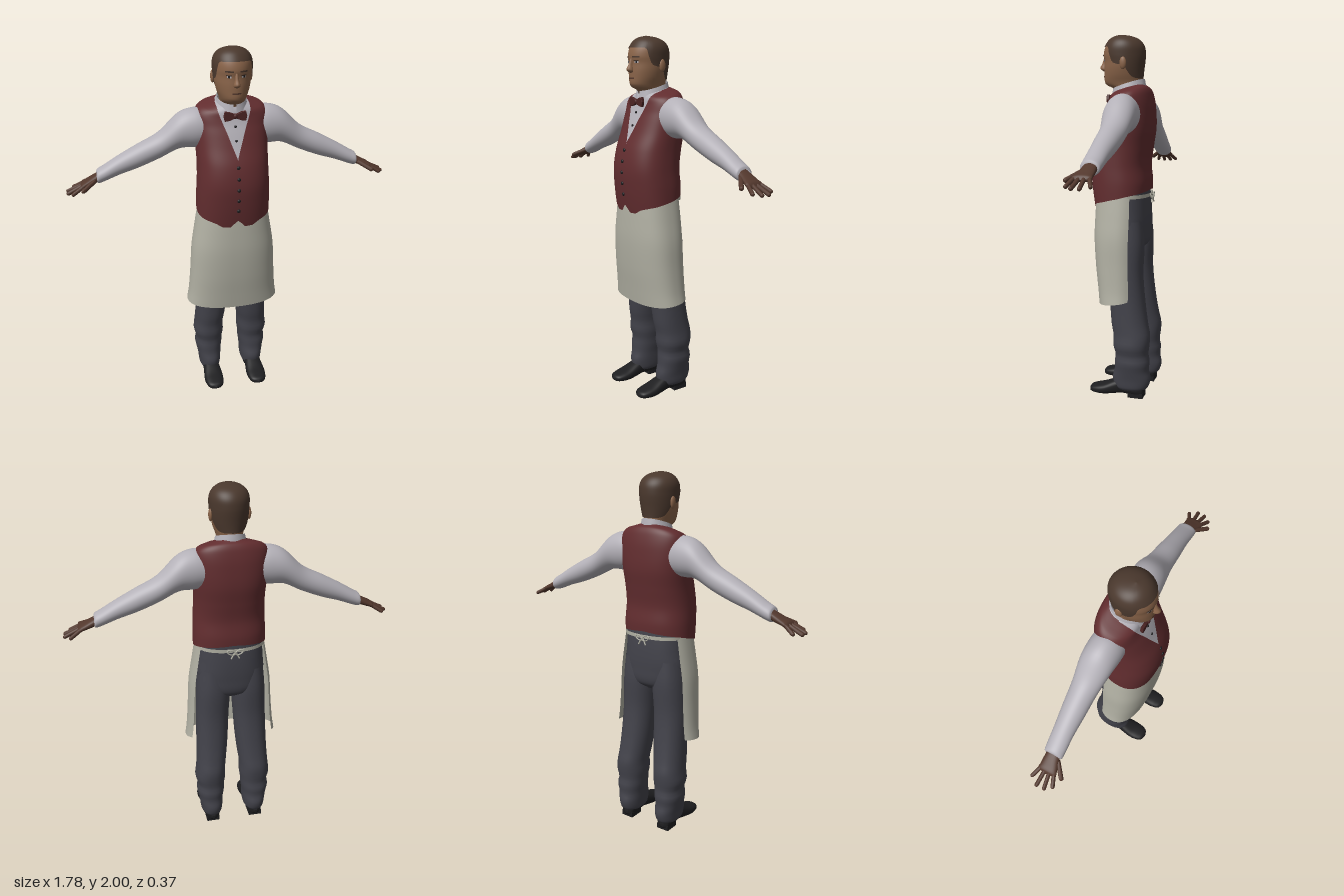
import * as THREE from 'three';
import { mergeVertices } from 'three/addons/utils/BufferGeometryUtils.js';

const mat = (name, color, side = THREE.DoubleSide) => {
  const m = new THREE.MeshStandardMaterial({ color, side });
  m.name = name;
  return m;
};

// Smooth interpolation of table rows keyed by their first entry
function sample(rows, k) {
  const n = rows.length - 1;
  let i = 0;
  while (i < n - 1 && k > rows[i + 1][0]) i++;
  const a = rows[i], b = rows[i + 1], d = b[0] - a[0];
  const t = Math.min(1, Math.max(0, (k - a[0]) / d));
  const p = rows[Math.max(0, i - 1)], q = rows[Math.min(n, i + 2)];
  return a.map((_, c) => {
    const m0 = (b[c] - p[c]) / (b[0] - p[0]) * d, m1 = (q[c] - a[c]) / (q[0] - a[0]) * d;
    const t2 = t * t, t3 = t2 * t;
    return (2 * t3 - 3 * t2 + 1) * a[c] + (t3 - 2 * t2 + t) * m0 + (3 * t2 - 2 * t3) * b[c] + (t3 - t2) * m1;
  });
}

// Surface through cross-sections [y, halfWidth, zFront, zBack, centreX];
// angle 0 faces front, lo may vary with the angle, from/to bound the sweep
function shell(rows, { lo = rows[0][0], hi = rows.at(-1)[0], from = () => -Math.PI, to = () => Math.PI,
  off = 0, p = 1, nu = 40, nv = 36, tilt = () => 0 } = {}) {
  const pos = [], idx = [], pw = v => Math.sign(v) * Math.abs(v) ** p;
  const low = typeof lo === 'function' ? lo : () => lo;
  for (let j = 0; j <= nv; j++) {
    const t = (1 - Math.cos(Math.PI * j / nv)) / 2, yn = low(0) + (hi - low(0)) * t;
    for (let i = 0; i <= nu; i++) {
      const a = from(yn) + (to(yn) - from(yn)) * i / nu, l = low(a), y = l + (hi - l) * t;
      const [, hx, zf, zb, cx = 0] = sample(rows, y);
      const z = (zf + zb) / 2 + ((zf - zb) / 2 + off) * pw(Math.cos(a));
      pos.push(cx + (hx + off) * pw(Math.sin(a)), y - tilt(y) * (z + 0.02), z);
      if (i < nu && j < nv) {
        const k = j * (nu + 1) + i, m = k + nu + 1;
        idx.push(k, k + 1, m, k + 1, m + 1, m);
      }
    }
  }
  let g = new THREE.BufferGeometry();
  g.setAttribute('position', new THREE.Float32BufferAttribute(pos, 3));
  g.setIndex(idx);
  g = mergeVertices(g, 1e-5);
  g.computeVertexNormals();
  return g;
}

function mirror(geo) {
  const g = geo.clone().scale(-1, 1, 1), ix = g.index.array;
  for (let i = 0; i < ix.length; i += 3) [ix[i], ix[i + 1]] = [ix[i + 1], ix[i]];
  g.computeVertexNormals();
  return g;
}

function limb(a, b, r) {
  const A = new THREE.Vector3(...a), B = new THREE.Vector3(...b), d = B.clone().sub(A);
  const g = new THREE.CapsuleGeometry(r, d.length(), 5, 10);
  g.applyQuaternion(new THREE.Quaternion().setFromUnitVectors(new THREE.Vector3(0, 1, 0), d.normalize()));
  return g.translate(...A.add(B).multiplyScalar(0.5).toArray());
}

const ball = (x, y, z, sx, sy, sz) => new THREE.SphereGeometry(1, 16, 12).scale(sx, sy, sz).translate(x, y, z);

export function createModel() {
  const model = new THREE.Group();
  model.name = 'waiter';
  const skin = mat('face skin', 0x8a6449), hand = mat('hand skin', 0x53382d), hair = mat('hair', 0x4a382d),
    red = mat('vest red', 0x622d2f), tieRed = mat('tie red', 0x4c2423), white = mat('shirt white', 0xb3b0b7),
    linen = mat('apron linen', 0xb0afa2), grey = mat('trouser grey', 0x42424a), black = mat('black leather', 0x1e1e20);
  const add = (name, geo, m) => {
    const mesh = new THREE.Mesh(geo, m);
    mesh.name = name;
    model.add(mesh);
    return mesh;
  };
  const pair = (name, geo, m) => {
    add('left ' + name, geo, m);
    add('right ' + name, mirror(geo), m);
  };

  // Head and neck
  const headRows = [
    [1.62, .066, .045, -.09], [1.7, .064, .055, -.09], [1.718, .066, .072, -.095], [1.732, .068, .105, -.096],
    [1.75, .073, .116, -.095], [1.78, .084, .117, -.096], [1.82, .093, .117, -.1], [1.86, .097, .115, -.105],
    [1.89, .099, .12, -.107], [1.93, .098, .112, -.103], [1.96, .086, .095, -.086], [1.98, .065, .076, -.06],
    [1.993, .036, .05, -.02], [2, -.005, .015, .025]];
  add('head', shell(headRows, { hi: 1.955, nv: 44 }), skin);
  const hairline = [[0, 1.937], [.6, 1.935], [.95, 1.925], [1.15, 1.86], [1.4, 1.842], [1.8, 1.83], [2.2, 1.775], [3.15, 1.765]];
  add('hair', shell(headRows, { lo: a => sample(hairline, Math.abs(a))[1], off: .005, nu: 60 }), hair);
  add('nose', shell([[1.806, .003, .122, .105], [1.813, .016, .134, .1], [1.824, .017, .145, .1],
    [1.845, .011, .134, .1], [1.88, .008, .121, .1]], { nu: 20, nv: 16 }), skin);
  pair('ear', ball(.1, 1.845, -.015, .011, .033, .019), skin);

  // Facial features as thin patches on the head surface
  const patch = (a0, a1, lo, hi, off) => shell(headRows, { lo, hi, from: () => a0, to: () => a1, off, nu: 10, nv: 4 });
  pair('eye', patch(.27, .51, 1.857, 1.868, .0015), white);
  pair('iris', patch(.34, .45, 1.857, 1.868, .003), black);
  pair('upper lid', patch(.24, .54, 1.867, 1.872, .003), hair);
  pair('eyebrow', patch(.17, .6, 1.885, 1.893, .003), hair);
  add('mouth', patch(-.27, .27, 1.774, 1.782, .002), hand);

  // Vest with V opening and pointed hem, over the shirt
  const torso = [
    [1, .2, .14, -.14], [1.08, .2, .158, -.14], [1.2, .2, .175, -.148], [1.3, .195, .18, -.14], [1.4, .192, .163, -.152],
    [1.5, .195, .125, -.165], [1.6, .198, .09, -.16], [1.66, .193, .075, -.145], [1.69, .165, .07, -.13],
    [1.705, .12, .065, -.115], [1.715, .085, .06, -.105]];
  const p = .85, tilt = y => .25 * THREE.MathUtils.smoothstep(y, 1.55, 1.7);
  const vee = y => {
    const v = Math.max(0, y - 1.44) * .33, hx = sample(torso, y)[1];
    return Math.asin(Math.min(1, (v / hx) ** (1 / p)));
  };
  const hem = [[0, 1.1], [.2, 1.055], [.6, 1.085], [1.3, 1.11], [2, 1.14], [3.15, 1.165]];
  add('vest', shell(torso, { lo: a => sample(hem, Math.min(Math.abs(a), 2 * Math.PI - Math.abs(a)))[1],
    from: vee, to: y => 2 * Math.PI - vee(y), p, tilt, nu: 96, nv: 70 }), red);
  add('shirt front', shell(torso, { lo: 1.38, off: -.006, p, tilt, nu: 64 }), white);
  add('collar', shell([[1.682, .09, .078, -.117], [1.71, .083, .073, -.113], [1.738, .076, .068, -.108]],
    { from: () => .1, to: () => 2 * Math.PI - .1, tilt: () => .3, nv: 10 }), white);
  for (const y of [1.4, 1.34, 1.28, 1.22, 1.16])
    add('vest button', ball(0, y, sample(torso, y)[2] + .001, .01, .01, .006), black);
  for (const y of [1.6, 1.53])
    add('shirt stud', ball(0, y, sample(torso, y)[2] - .004, .007, .007, .005), black);

  // Bow tie
  const wing = new THREE.Shape([[.004, .009], [.03, .02], [.054, .024], [.06, 0], [.054, -.024], [.03, -.02], [.004, -.009]]
    .map(([x, y]) => new THREE.Vector2(x, y)));
  for (const s of [0, Math.PI]) {
    const g = new THREE.ExtrudeGeometry(wing, { depth: .01, bevelSize: .002, bevelThickness: .003, bevelSegments: 2 });
    add('bow tie wing', g.translate(0, 0, -.005).rotateY(s).translate(0, 1.655, .082), tieRed);
  }
  add('bow tie knot', ball(0, 1.655, .085, .012, .014, .011), tieRed);

  // Sleeves: sections run along x, so the last entry is minus the height
  const sleeve = [
    [.13, .1, .05, -.125, -1.575], [.2, .107, .05, -.13, -1.575], [.28, .094, .04, -.13, -1.56], [.386, .07, .02, -.12, -1.487],
    [.5, .063, .012, -.112, -1.435], [.6, .052, .005, -.103, -1.393], [.69, .042, .004, -.098, -1.35],
    [.72, .037, .001, -.094, -1.338], [.724, .027, -.01, -.085, -1.336]];
  pair('sleeve', shell(sleeve, { nv: 44 }).rotateZ(-Math.PI / 2), white);

  // Hands
  const palm = [[.69, .025, -.012, -.08, -1.347], [.74, .022, -.004, -.083, -1.325], [.78, .018, .008, -.084, -1.308],
    [.805, .014, .01, -.083, -1.298], [.814, .001, -.02, -.05, -1.294]];
  pair('palm', shell(palm, { p: .85, nu: 28, nv: 18 }).rotateZ(-Math.PI / 2), hand);
  const tips = [[.85, 1.268, .02], [.876, 1.263, -.014], [.878, 1.263, -.055], [.848, 1.27, -.096]];
  tips.forEach((tip, i) => pair('finger', limb([.795, 1.301, -.001 - i * .024], tip, .0105), hand));
  pair('thumb', limb([.738, 1.322, -.008], [.797, 1.29, .04], .012), hand);

  // Trousers
  add('trouser seat', shell([[.82, .06, 0, -.08], [.86, .15, .07, -.13], [.95, .188, .105, -.142], [1.05, .185, .12, -.142],
    [1.18, .175, .1, -.13]], { p: .85 }), grey);
  const leg = [
    [.045, .05, .01, -.15, .13], [.06, .06, .022, -.17, .13], [.11, .066, .032, -.184, .13], [.16, .072, .02, -.174, .133],
    [.21, .08, .018, -.178, .134], [.25, .078, .014, -.17, .13], [.3, .088, .026, -.176, .133], [.36, .084, .026, -.179, .13],
    [.42, .086, .038, -.166, .124], [.54, .09, .05, -.147, .115], [.7, .093, .07, -.132, .108], [.87, .095, .085, -.136, .1],
    [1, .085, .1, -.125, .1]];
  pair('trouser leg', shell(leg, { p: .9, nv: 60 }), grey);

  // Shoes: sections run along z, heights are negated
  const shoe = [
    [-.155, .012, -.02, -.06, .13], [-.145, .036, -.008, -.09, .13], [-.09, .045, -.006, -.11, .13], [-.03, .043, -.014, -.11, .13],
    [.02, .05, -.008, -.09, .13], [.08, .056, -.001, -.064, .131], [.13, .05, -.003, -.05, .131], [.16, .033, -.008, -.04, .131],
    [.17, .004, -.016, -.026, .131]];
  pair('shoe', shell(shoe, { p: .8, nu: 32 }).rotateX(Math.PI / 2), black);
  pair('shoe heel', new THREE.BoxGeometry(.075, .03, .085).translate(.13, .015, -.105), black);

  // Apron with tie at the back
  const apron = [[.54, .266, .122, -.15], [.62, .253, .132, -.15], [.75, .242, .148, -.15], [.9, .232, .158, -.15],
    [1.02, .213, .156, -.15], [1.14, .192, .15, -.145]];
  add('apron', shell(apron, { lo: a => .54 + .008 * a * a * (a > 0 ? 1 : .7), from: () => -2.05, to: () => 2.05, p, nu: 56 }), linen);
  add('apron string', shell([[1.125, .19, .13, -.147], [1.145, .19, .13, -.147]],
    { from: () => 1.9, to: () => 2 * Math.PI - 1.9, p, nv: 2 }), linen);
  pair('apron bow loop', new THREE.TorusGeometry(.016, .004, 8, 16).scale(1.4, .8, 1).rotateZ(.4).translate(.022, 1.13, -.157), linen);
  pair('apron bow tail', limb([.004, 1.128, -.156], [.022, 1.095, -.158], .004), linen);
  return model;
}
